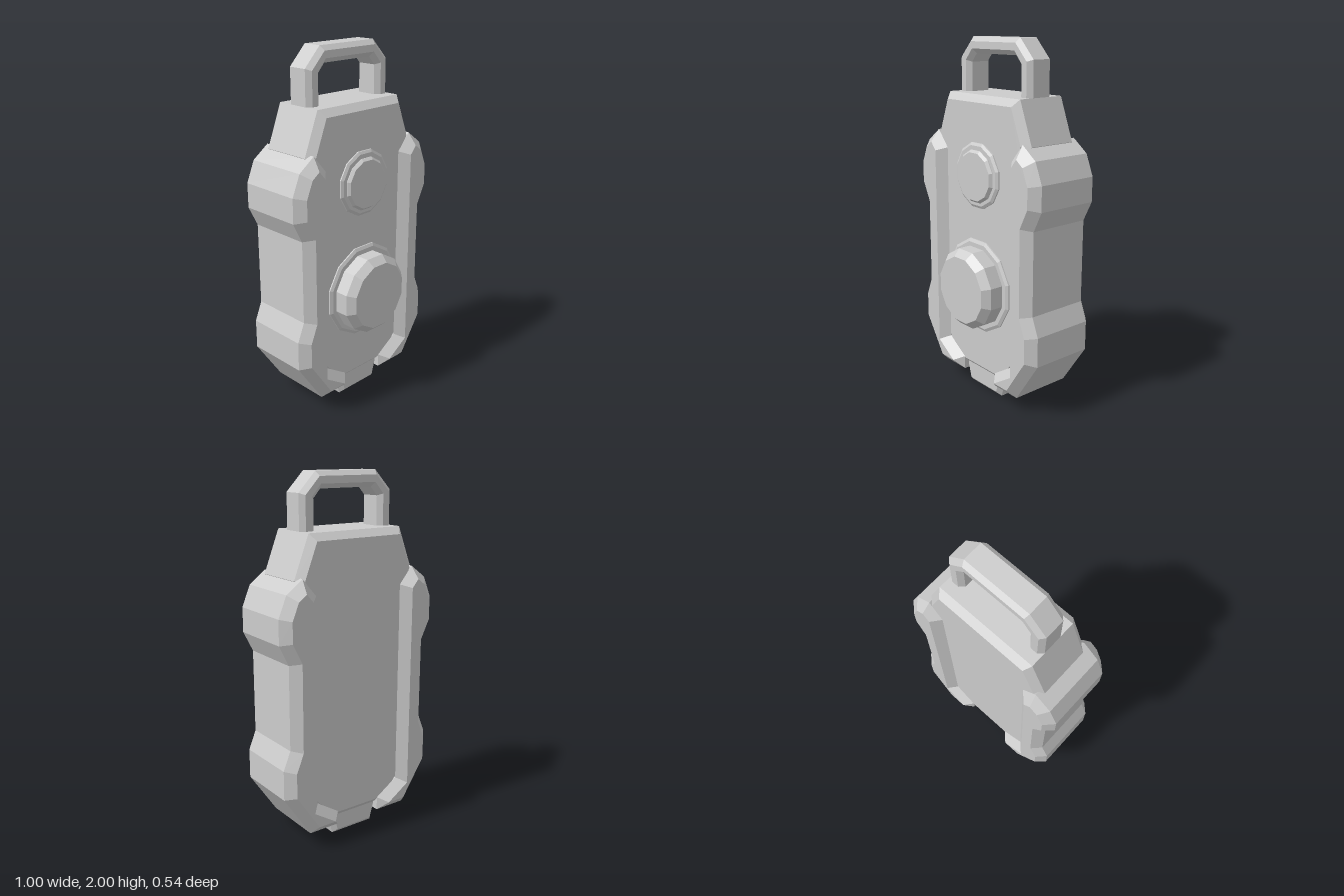
import * as THREE from 'three';

const grey = new THREE.MeshStandardMaterial({ color: 0xcccccc });
grey.name = 'lightGrey';

function addMesh(group, name, geometry) {
  const flat = geometry.index ? geometry.toNonIndexed() : geometry;
  flat.computeVertexNormals();
  const mesh = new THREE.Mesh(flat, grey);
  mesh.name = name;
  group.add(mesh);
}

// Outline in x/y, extruded from zBack to zFront with chamfered rims
function chamferedPlate(points, zBack, zFront, chamfer) {
  const shape = new THREE.Shape(points.map(([x, y]) => new THREE.Vector2(x, y)));
  return new THREE.ExtrudeGeometry(shape, {
    depth: zFront - zBack - 2 * chamfer,
    bevelEnabled: true,
    bevelSegments: 1,
    bevelSize: chamfer,
    bevelOffset: -chamfer,
    bevelThickness: chamfer,
  }).translate(0, 0, zBack + chamfer);
}

// Completes a right-hand half outline with its mirror image
const mirrored = (half) => [...half, ...half.map(([x, y]) => [-x, y]).reverse()];

// Twelve-sided disc facing +z; profile lists [radius, z] from back to front
function dial(profile, y) {
  const points = profile.map(([r, z]) => new THREE.Vector2(r, z));
  return new THREE.LatheGeometry(points, 12, Math.PI / 12)
    .rotateX(Math.PI / 2)
    .translate(0, y, 0);
}

export function createModel() {
  const model = new THREE.Group();
  model.name = 'handheldRemote';

  // Central casing with sloped shoulders
  const bodyHalf = [[0.2, 0.118], [0.36, 0.3], [0.36, 1.43], [0.382, 1.475], [0.293, 1.705]];
  addMesh(model, 'body', chamferedPlate(mirrored(bodyHalf), -0.22, 0.138, 0.038));

  // Side grips wrapping under the casing
  const grip = [
    [0.14, 0.085], [0.325, 0.085], [0.488, 0.33], [0.488, 0.495], [0.445, 0.6],
    [0.445, 1.06], [0.5, 1.17], [0.5, 1.305], [0.452, 1.42], [0.357, 1.49],
    [0.276, 1.395], [0.276, 0.25], [0.14, 0.162],
  ];
  for (const [name, side] of [['leftGrip', 1], ['rightGrip', -1]]) {
    const outline = grip.map(([x, y]) => [side * x, y]);
    addMesh(model, name, chamferedPlate(outline, -0.27, 0.188, 0.05));
  }

  // Carrying loop
  const loop = [
    ...[[0.293, 1.6], [0.293, 1.895], [0.192, 2]],
    ...[[-0.192, 2], [-0.293, 1.895], [-0.293, 1.6]],
    ...[[-0.205, 1.6], [-0.205, 1.865], [-0.163, 1.912]],
    ...[[0.163, 1.912], [0.205, 1.865], [0.205, 1.6]],
  ];
  addMesh(model, 'carryLoop', chamferedPlate(loop, -0.122, 0.038, 0.025));

  // Bottom tab
  const tabHalf = [[0.135, 0], [0.172, 0.13], [0.172, 0.2]];
  addMesh(model, 'bottomTab', chamferedPlate(mirrored(tabHalf), -0.185, 0.11, 0.026));

  // Buttons with their collars
  addMesh(model, 'largeCollar', dial([[0.27, 0.1], [0.27, 0.145], [0.253, 0.154], [0, 0.154]], 0.653));
  addMesh(model, 'largeButton', dial([[0.228, 0.1], [0.228, 0.23], [0.19, 0.27], [0, 0.27]], 0.652));
  addMesh(model, 'smallCollar', dial([[0.183, 0.1], [0.183, 0.145], [0.168, 0.154], [0, 0.154]], 1.278));
  addMesh(model, 'smallButton', dial([[0.147, 0.1], [0.147, 0.157], [0.134, 0.172], [0, 0.172]], 1.275));

  return model;
}
